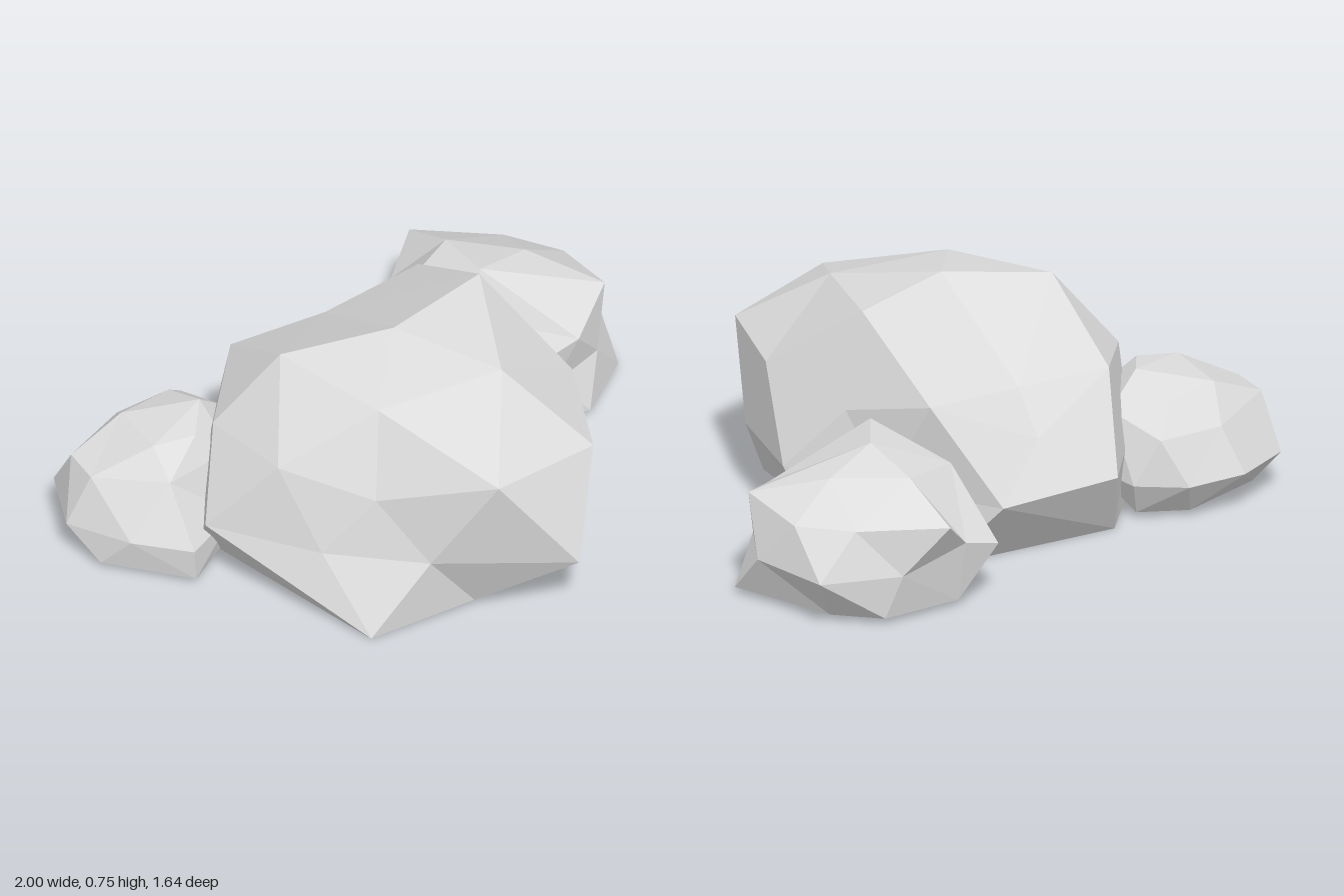
import * as THREE from 'three';
import { ConvexGeometry } from 'three/addons/geometries/ConvexGeometry.js';

const stone = new THREE.MeshStandardMaterial({ color: 0xdddddd });
stone.name = 'paleStone';

// Faceted boulder: corners are joined as seen from the centre (hull of their
// directions), then put back at their true places, so dents survive.
function boulder(name, centre, radii, corners) {
  const c = new THREE.Vector3(...centre);
  const r = new THREE.Vector3(...radii);
  const points = corners.map(p => new THREE.Vector3(...p));
  const directions = points.map(p => p.clone().sub(c).divide(r).normalize());
  const geometry = new ConvexGeometry(directions);
  const position = geometry.attributes.position;
  const v = new THREE.Vector3();
  for (let i = 0; i < position.count; i++) {
    v.fromBufferAttribute(position, i);
    const nearest = directions.reduce((best, d, k) =>
      d.distanceToSquared(v) < directions[best].distanceToSquared(v) ? k : best, 0);
    position.setXYZ(i, ...points[nearest].toArray());
  }
  geometry.computeVertexNormals();
  const mesh = new THREE.Mesh(geometry, stone);
  mesh.name = name;
  return mesh;
}

export function createModel() {
  const group = new THREE.Group();
  group.name = 'rockCluster';

  group.add(boulder('largeRock', [-0.16, 0.23, 0.03], [0.6, 0.5, 0.7], [
    // crown
    [-0.16, 0.755, 0.03], [0.24, 0.745, 0.03], [-0.04, 0.70, 0.38],
    [-0.45, 0.69, 0.23], [-0.46, 0.71, -0.18], [-0.01, 0.515, -0.40],
    // shoulders
    [0.35, 0.45, 0.01], [0.30, 0.51, 0.37], [0.05, 0.51, 0.69], [-0.37, 0.56, 0.67],
    [-0.55, 0.43, 0.31], [-0.69, 0.49, 0.02], [-0.62, 0.46, -0.32],
    [-0.33, 0.51, -0.51], [0.03, 0.38, -0.51], [0.35, 0.54, -0.33],
    // widest ring
    [0.415, 0.23, 0.21], [0.20, 0.23, 0.53], [-0.16, 0.23, 0.82], [-0.48, 0.23, 0.48],
    [-0.67, 0.23, 0.19], [-0.81, 0.23, -0.18], [-0.50, 0.23, -0.46],
    [-0.16, 0.23, -0.68], [0.27, 0.23, -0.56], [0.36, 0.23, -0.15],
    // foot
    [-0.67, 0, 0.40], [-0.32, 0.02, 0.52], [0.02, 0, 0.60], [0.21, 0.04, 0.31],
    [0.41, 0, 0.05], [0.33, 0, -0.35], [-0.27, 0, -0.58], [-0.64, 0, -0.36],
    [-0.16, 0, 0.03],
  ]));

  group.add(boulder('mediumRock', [0.62, 0.16, -0.25], [0.38, 0.28, 0.38], [
    // crown
    [0.54, 0.46, -0.24], [0.35, 0.447, -0.09], [0.76, 0.41, -0.25], [0.62, 0.42, -0.46],
    [0.36, 0.38, -0.42],
    // shoulders
    [0.87, 0.34, -0.01], [0.65, 0.285, 0.08], [0.45, 0.29, 0.08], [0.94, 0.305, -0.25],
    [0.87, 0.31, -0.44], [0.68, 0.32, -0.67],
    // widest ring
    [1.0, 0.16, -0.40], [0.95, 0.16, -0.11], [0.77, 0.16, 0.05], [0.54, 0.16, 0.07],
    [0.40, 0.16, 0.11], [0.78, 0.16, -0.56], [0.55, 0.22, -0.63], [0.41, 0.18, -0.65],
    [0.25, 0.16, -0.40],
    // foot
    [0.66, 0.02, 0.12], [0.90, 0.02, 0.02], [0.41, 0.02, 0.03], [0.90, 0.02, -0.36],
    [0.82, 0.02, -0.52], [0.55, 0.02, -0.60], [0.30, 0.02, -0.45], [0.62, 0.02, -0.25],
  ]));

  group.add(boulder('smallRock', [-0.67, 0.15, -0.52], [0.33, 0.24, 0.31], [
    // crown
    [-0.78, 0.40, -0.43], [-0.53, 0.43, -0.46], [-0.50, 0.37, -0.62], [-0.70, 0.38, -0.64],
    [-0.66, 0.41, -0.36],
    // shoulders
    [-0.94, 0.305, -0.55], [-0.89, 0.30, -0.68], [-0.80, 0.31, -0.34], [-0.56, 0.33, -0.30],
    [-0.61, 0.28, -0.74], [-0.39, 0.28, -0.67], [-0.40, 0.33, -0.46],
    // widest ring
    [-1.0, 0.13, -0.60], [-0.85, 0.13, -0.79], [-0.63, 0.13, -0.82], [-0.43, 0.13, -0.755],
    [-0.33, 0.13, -0.61], [-0.94, 0.13, -0.38], [-0.84, 0.13, -0.20], [-0.60, 0.13, -0.25],
    [-0.38, 0.13, -0.40],
    // foot
    [-0.97, 0.02, -0.48], [-0.83, 0.02, -0.20], [-0.82, 0.02, -0.70], [-0.50, 0.02, -0.70],
    [-0.38, 0.02, -0.58], [-0.58, 0.02, -0.28], [-0.67, 0.02, -0.50],
  ]));

  return group;
}
